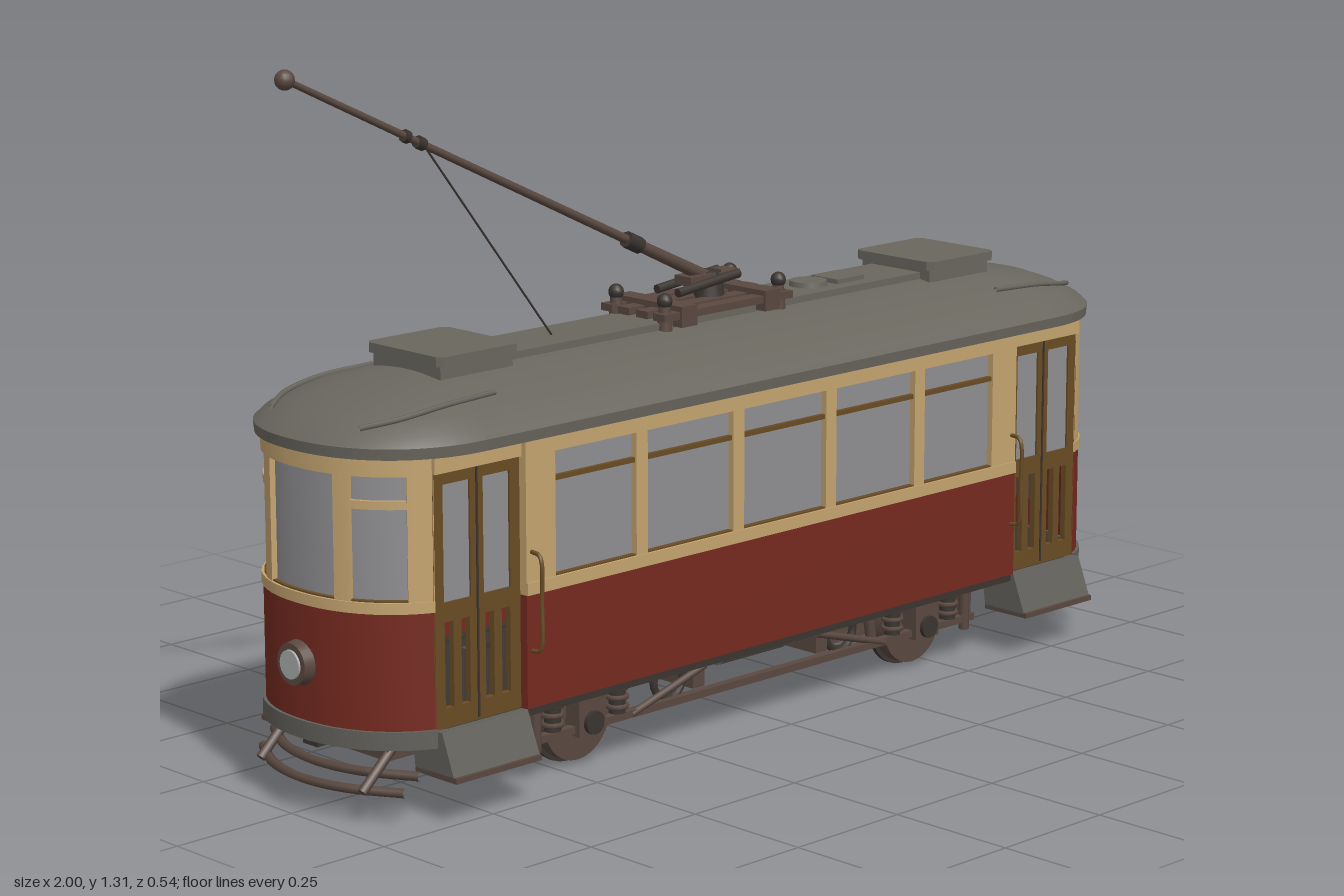
import * as THREE from 'three';
import { toCreasedNormals } from 'three/addons/utils/BufferGeometryUtils.js';

const mat = (name, color, side = THREE.FrontSide) => {
  const m = new THREE.MeshStandardMaterial({ color, side });
  m.name = name;
  return m;
};
const V = (x, y, z) => new THREE.Vector3(x, y, z);

export function createModel() {
  const red = mat('red paint', 0x752a20), cream = mat('cream paint', 0xc4a470), brown = mat('door wood', 0x694c25);
  const roofGrey = mat('roof grey', 0x69665e, THREE.DoubleSide), glass = mat('window glass', 0x8f8f92);
  const iron = mat('brown iron', 0x594840), dark = mat('dark iron', 0x3b3430);
  const steel = mat('step grey', 0x62605b), lens = mat('lamp lens', 0xa9aba9);

  const add = (g, name, geo, m, x = 0, y = 0, z = 0) => {
    const mesh = new THREE.Mesh(geo, m);
    mesh.name = name;
    mesh.position.set(x, y, z);
    g.add(mesh);
    return mesh;
  };
  // box given by its limits
  const box = (g, name, m, x0, x1, y0, y1, z0, z1) =>
    add(g, name, new THREE.BoxGeometry(x1 - x0, y1 - y0, z1 - z0), m, (x0 + x1) / 2, (y0 + y1) / 2, (z0 + z1) / 2);
  const rod = (g, name, m, a, b, r0, r1 = r0, n = 8) => {
    const d = b.clone().sub(a), c = a.clone().add(b).multiplyScalar(0.5);
    const mesh = add(g, name, new THREE.CylinderGeometry(r1, r0, d.length(), n), m, c.x, c.y, c.z);
    mesh.quaternion.setFromUnitVectors(V(0, 1, 0), d.normalize());
    return mesh;
  };
  const tube = (g, name, m, pts, r, n = 24) =>
    add(g, name, new THREE.TubeGeometry(new THREE.CatmullRomCurve3(pts), n, r, 6), m);
  const slab = (g, name, m, pts, y0, y1) => {
    const s = new THREE.Shape(pts.map(([x, z]) => new THREE.Vector2(x, -z)));
    const geo = new THREE.ExtrudeGeometry(s, { depth: y1 - y0, bevelEnabled: false }).rotateX(-Math.PI / 2);
    return add(g, name, toCreasedNormals(geo, 0.6), m, 0, y0, 0);
  };

  // rounded plan of an end: x for a given z
  const W = 0.232, N = 2.2;
  const endX = z => 0.755 + 0.22 * Math.pow(1 - Math.pow(Math.abs(z) / W, N), 1 / N);
  const endPoint = (th, off) => {
    const z = W * Math.sin(th), e = 0.001;
    const dx = endX(z + e) - endX(z - e), l = Math.hypot(dx, 2 * e);
    return [endX(z) + off * 2 * e / l, z - off * dx / l];
  };
  const arc = (z0, z1, off, n = 20) => {
    const t0 = Math.asin(z0 / W), t1 = Math.asin(z1 / W);
    return Array.from({ length: n + 1 }, (_, i) => endPoint(t0 + (t1 - t0) * i / n, off));
  };
  const band = (g, name, m, z0, z1, y0, y1, out = 0, inn = -0.015) =>
    slab(g, name, m, [...arc(z0, z1, out), ...arc(z0, z1, inn).reverse()], y0, y1);

  // roof: rounded outlines [half width, end x, y] lofted together
  function roofGeometry() {
    const rings = [[0.002, 0.7, 0.652], [0.244, 0.984, 0.652], [0.246, 0.986, 0.672], [0.232, 0.968, 0.688],
      [0.2, 0.93, 0.708], [0.16, 0.875, 0.728], [0.1, 0.78, 0.746], [0.05, 0.72, 0.754], [0.002, 0.7, 0.756]];
    const M = 64, pos = [], idx = [];
    for (const [hz, ex, y] of rings) {
      const a = 0.95 * hz;
      for (let i = 0; i < M; i++) {
        const right = i < M / 2, t = (i % (M / 2)) / (M / 2 - 1) * Math.PI - Math.PI / 2;
        const c = Math.pow(Math.max(0, Math.cos(t)), 2 / N), s = Math.sign(t) * Math.pow(Math.abs(Math.sin(t)), 2 / N);
        const k = right ? 1 : -1;
        pos.push(k * (ex - a + a * c), y, k * hz * s);
      }
    }
    for (let r = 0; r < rings.length - 1; r++) for (let i = 0; i < M; i++) {
      const a = r * M + i, b = r * M + (i + 1) % M;
      idx.push(a, a + M, b, b, a + M, b + M);
    }
    const geo = new THREE.BufferGeometry();
    geo.setAttribute('position', new THREE.Float32BufferAttribute(pos, 3));
    geo.setIndex(idx);
    return toCreasedNormals(geo, 0.6);
  }

  // one long side, facing +z
  function makeSide() {
    const g = new THREE.Group();
    g.name = 'side';
    box(g, 'lowerPanel', red, -0.65, 0.65, 0.165, 0.372, 0.215, W);
    box(g, 'windowSill', cream, -0.65, 0.65, 0.372, 0.395, 0.212, W + 0.003);
    box(g, 'windowHeader', cream, -0.65, 0.65, 0.622, 0.655, 0.212, W);
    box(g, 'sideGlass', glass, -0.64, 0.64, 0.385, 0.63, 0.212, 0.219);
    box(g, 'transomBar', brown, -0.62, 0.62, 0.567, 0.576, 0.215, 0.228);
    box(g, 'sillTrim', brown, -0.62, 0.62, 0.393, 0.398, 0.215, 0.23);
    for (let i = 0; i < 6; i++) {
      const x = -0.615 + 0.246 * i, w = i % 5 ? 0.014 : 0.035;
      box(g, 'windowPillar', cream, x - w, x + w, 0.39, 0.63, 0.212, W);
    }
    for (const s of [-1, 1]) {
      // folding door with two glazed and slotted leaves
      const door = new THREE.Shape([[-0.1, 0.165], [0.1, 0.165], [0.1, 0.625], [-0.1, 0.625]].map(p => new THREE.Vector2(...p)));
      const hole = (x, w, y0, y1) => door.holes.push(new THREE.Path(
        [[x - w, y0], [x - w, y1], [x + w, y1], [x + w, y0]].map(p => new THREE.Vector2(...p))));
      for (const k of [-1, 1]) {
        hole(k * 0.046, 0.031, 0.39, 0.6);
        hole(k * 0.028, 0.01, 0.2, 0.355);
        hole(k * 0.066, 0.01, 0.2, 0.355);
        box(g, 'doorGlass', glass, s * 0.75 + k * 0.046 - 0.032, s * 0.75 + k * 0.046 + 0.032, 0.388, 0.602, 0.207, 0.211);
      }
      add(g, 'door', new THREE.ExtrudeGeometry(door, { depth: 0.012, bevelEnabled: false }), brown, s * 0.75, 0, 0.203);
      box(g, 'doorSeam', dark, s * 0.75 - 0.002, s * 0.75 + 0.002, 0.17, 0.62, 0.21, 0.217);
      box(g, 'doorHeader', cream, s * 0.75 - 0.1, s * 0.75 + 0.1, 0.622, 0.655, 0.198, 0.222);
      // flared entrance step
      const step = new THREE.Shape([[0.15, 0.16], [0.232, 0.165], [0.262, 0.088], [0.16, 0.088]].map(p => new THREE.Vector2(...p)));
      const sg = new THREE.ExtrudeGeometry(step, { depth: 0.2, bevelEnabled: false }).rotateY(-Math.PI / 2);
      add(g, 'entranceStep', sg, steel, s * 0.75 + 0.1, 0, 0);
      box(g, 'stepTread', iron, s * 0.75 - 0.1, s * 0.75 + 0.1, 0.08, 0.09, 0.16, 0.268);
      tube(g, 'handrail', brown, [V(s * 0.638, 0.27, 0.23), V(s * 0.638, 0.275, 0.254), V(s * 0.638, 0.36, 0.258),
        V(s * 0.638, 0.445, 0.254), V(s * 0.638, 0.45, 0.23)], 0.004);
      // wheel and axle box
      const wx = s * 0.45;
      const disc = (name, r, z0, z1, m, n = 28) => rod(g, name, m, V(wx, 0.088, z0), V(wx, 0.088, z1), r, r, n);
      disc('wheelTread', 0.08, 0.118, 0.145, iron);
      disc('wheelFlange', 0.088, 0.108, 0.118, dark);
      disc('wheelHub', 0.03, 0.14, 0.165, dark, 16);
      box(g, 'axleBox', iron, wx - 0.033, wx + 0.033, 0.065, 0.145, 0.15, 0.185);
      disc('axleBoxCover', 0.022, 0.18, 0.194, dark, 14);
      for (const d of [-0.08, 0.08]) {
        rod(g, 'spring', dark, V(wx + d, 0.085, 0.165), V(wx + d, 0.15, 0.165), 0.016, 0.016, 12);
        for (let i = 0; i < 3; i++)
          add(g, 'springCoil', new THREE.TorusGeometry(0.018, 0.005, 6, 12).rotateX(Math.PI / 2), iron, wx + d, 0.098 + i * 0.018, 0.165);
      }
      // brake gear beside each motor
      add(g, 'brakeRing', new THREE.TorusGeometry(0.038, 0.008, 6, 20), dark, s * 0.23, 0.118, 0.155);
      rod(g, 'brakeHanger', iron, V(s * 0.335, 0.15, 0.13), V(s * 0.35, 0.055, 0.13), 0.011);
      rod(g, 'frameBrace', iron, V(s * 0.34, 0.075, 0.17), V(s * 0.15, 0.13, 0.17), 0.007);
      rod(g, 'frameEndPost', iron, V(s * 0.575, 0.055, 0.17), V(s * 0.575, 0.14, 0.17), 0.01);
    }
    box(g, 'truckTopRail', iron, -0.6, 0.6, 0.132, 0.147, 0.155, 0.178);
    box(g, 'truckLowerRail', iron, -0.6, 0.6, 0.07, 0.084, 0.158, 0.175);
    box(g, 'bodySill', dark, -0.65, 0.65, 0.15, 0.168, 0.19, 0.226);
    // curved rain strips above the doors
    for (const s of [-1, 1]) tube(g, 'rainStrip', roofGrey,
      [V(s * 0.66, 0.729, 0.165), V(s * 0.78, 0.724, 0.168), V(s * 0.87, 0.712, 0.155), V(s * 0.93, 0.7, 0.12)], 0.005);
    return g;
  }

  // one rounded end, facing +x
  function makeEnd() {
    const g = new THREE.Group(), Z = 0.2155;
    g.name = 'end';
    band(g, 'endLowerPanel', red, -Z, Z, 0.165, 0.378);
    band(g, 'endSkirt', steel, -Z, Z, 0.135, 0.168, 0.006, -0.02);
    band(g, 'endSill', cream, -Z, Z, 0.378, 0.398, 0.003);
    band(g, 'endHeader', cream, -Z, Z, 0.62, 0.655);
    band(g, 'endGlass', glass, -0.21, 0.21, 0.385, 0.63, -0.01, -0.015);
    for (const s of [-1, 1]) {
      const strip = (name, m, a, b, y0, y1, out) => band(g, name, m, s > 0 ? a : -b, s > 0 ? b : -a, y0, y1, out);
      strip('endPillar', cream, 0.085, 0.115, 0.39, 0.625, 0);
      strip('cornerPillar', cream, 0.193, Z, 0.39, 0.625, 0);
      strip('cornerTransom', cream, 0.11, 0.196, 0.562, 0.577, -0.003);
      strip('cornerTrim', brown, 0.113, 0.196, 0.396, 0.401, -0.002);
      rod(g, 'guardBracket', iron, V(0.87, 0.14, s * 0.14), V(0.955, 0.06, s * 0.14), 0.009);
    }
    band(g, 'windowTrim', brown, -0.088, 0.088, 0.396, 0.401, -0.002);
    // headlamp
    const lamp = (name, m, x0, x1, r0, r1) => rod(g, name, m, V(x0, 0.27, 0), V(x1, 0.27, 0), r0, r1, 24);
    lamp('headlampBody', iron, 0.95, 0.994, 0.045, 0.038);
    lamp('headlampLens', lens, 0.98, 0.998, 0.028, 0.026);
    // curved guard rails
    for (const [y, x, h] of [[0.085, 0.945, 0.2], [0.06, 0.975, 0.195]])
      tube(g, 'guardRail', iron, [-1, -0.5, 0, 0.5, 1].map(k => V(x - 0.07 * k * k, y, h * k)), 0.009);
    box(g, 'endBeam', iron, 0.84, 0.9, 0.105, 0.15, -0.145, 0.145);
    box(g, 'coupler', dark, 0.86, 0.955, 0.115, 0.135, -0.02, 0.02);
    // roof ventilator
    slab(g, 'ventBase', roofGrey, [[0.55, -0.09], [0.72, -0.09], [0.72, 0.09], [0.55, 0.09]], 0.735, 0.772);
    slab(g, 'ventCap', roofGrey, [[0.54, -0.09], [0.55, -0.102], [0.72, -0.102], [0.73, -0.09],
      [0.73, 0.09], [0.72, 0.102], [0.55, 0.102], [0.54, 0.09]], 0.772, 0.79);
    // axle and motor
    rod(g, 'axle', dark, V(0.45, 0.088, -0.15), V(0.45, 0.088, 0.15), 0.016, 0.016, 12);
    box(g, 'motor', iron, 0.27, 0.42, 0.065, 0.145, -0.085, 0.085);
    box(g, 'truckCrossbeam', iron, 0.57, 0.595, 0.08, 0.14, -0.17, 0.17);
    box(g, 'innerCrossbeam', iron, 0.15, 0.18, 0.09, 0.15, -0.17, 0.17);
    // platform corners and insulators
    for (const s of [-1, 1]) {
      rod(g, 'roofInsulator', iron, V(0.15, 0.745, s * 0.065), V(0.15, 0.8, s * 0.065), 0.015, 0.011, 12);
      add(g, 'insulatorCap', new THREE.SphereGeometry(0.015, 12, 8), dark, 0.15, 0.805, s * 0.065);
    }
    return g;
  }

  const tram = new THREE.Group();
  tram.name = 'tram';
  for (const turn of [0, Math.PI]) for (const part of [makeSide(), makeEnd()]) {
    part.rotation.y = turn;
    tram.add(part);
  }
  add(tram, 'roof', roofGeometry(), roofGrey);
  const half = arc(-0.225, 0.225, -0.008);
  slab(tram, 'floor', dark, [...half, ...half.map(([x, z]) => [-x, -z])], 0.146, 0.164);

  // roof fittings
  box(tram, 'roofBoard', roofGrey, -0.55, 0.55, 0.745, 0.765, -0.065, 0.065);
  rod(tram, 'roofDrum', roofGrey, V(0.3, 0.75, 0), V(0.3, 0.775, 0), 0.04, 0.036, 20);
  box(tram, 'roofBox', roofGrey, 0.345, 0.42, 0.755, 0.774, -0.035, 0.035);
  for (const z of [-0.07, -0.025, 0.025, 0.07]) box(tram, 'trolleyPlank', iron, -0.17, 0.17, 0.77, 0.784, z - 0.015, z + 0.015);
  for (const x of [-0.11, 0.11]) box(tram, 'plankBeam', iron, x - 0.02, x + 0.02, 0.755, 0.794, -0.09, 0.09);

  // trolley pole
  const base = V(0.03, 0.815, 0), tip = V(-0.975, 1.29, 0), along = t => base.clone().lerp(tip, t);
  rod(tram, 'trolleyPivot', dark, V(0.03, 0.78, 0), V(0.03, 0.83, 0), 0.03, 0.022, 16);
  box(tram, 'trolleyBase', iron, -0.04, 0.09, 0.81, 0.828, -0.022, 0.022);
  for (const z of [-0.028, 0.028]) rod(tram, 'trolleySpring', dark, V(-0.08, 0.805, z), V(0.08, 0.822, z), 0.009);
  rod(tram, 'poleSocket', iron, along(0), along(0.2), 0.013, 0.011);
  rod(tram, 'poleCollar', dark, along(0.18), along(0.215), 0.016);
  rod(tram, 'trolleyPole', iron, along(0.18), tip, 0.009, 0.006);
  rod(tram, 'poleClip', dark, along(0.7), along(0.715), 0.012);
  rod(tram, 'poleClip', dark, along(0.735), along(0.745), 0.012);
  add(tram, 'trolleyHead', new THREE.SphereGeometry(0.018, 14, 10), iron, -0.98, 1.292, 0);
  rod(tram, 'trolleyRope', dark, along(0.7), V(-0.37, 0.76, 0), 0.002, 0.002, 5);

  // tank and gear under the floor
  rod(tram, 'airTank', steel, V(-0.085, 0.138, 0.13), V(0.085, 0.138, 0.13), 0.03, 0.03, 18);
  box(tram, 'equipmentBox', iron, -0.1, 0.1, 0.085, 0.15, -0.17, -0.06);
  box(tram, 'centreBeam', iron, -0.57, 0.57, 0.125, 0.15, -0.02, 0.02);
  return tram;
}
